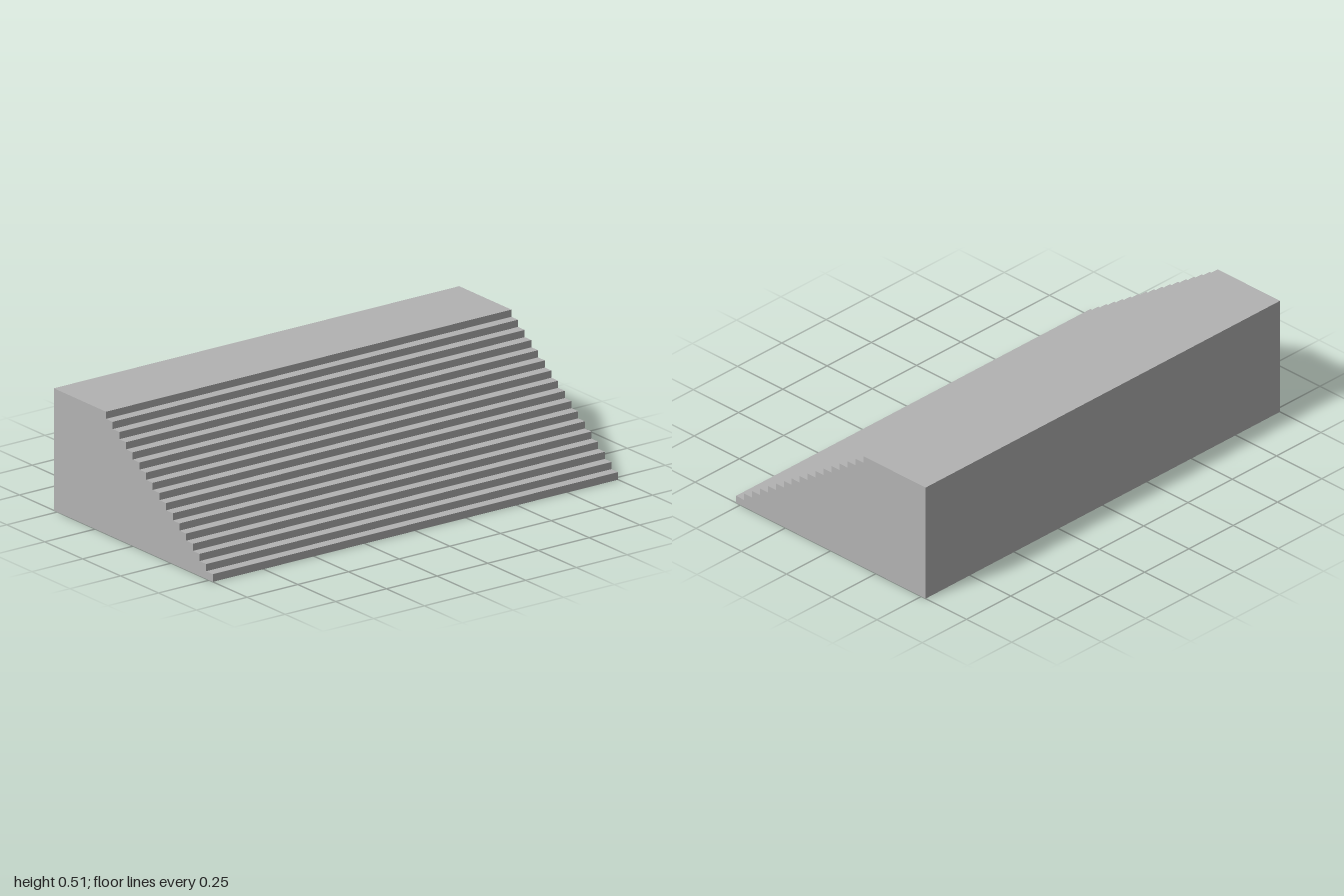
import * as THREE from 'three';

const WIDTH = 2;
const FRONT = 0.524, BACK = -0.524; // z extents
const RISERS = 17, TREAD = 0.044;
const FIRST_RISE = 0.032, RISE = 0.03;

// Side profile in (z, y): stepped front, flat landing, straight back
function stairProfile() {
  const shape = new THREE.Shape();
  shape.moveTo(BACK, 0);
  shape.lineTo(FRONT, 0);
  for (let i = 0; i < RISERS; i++) {
    const z = FRONT - i * TREAD;
    const y = FIRST_RISE + i * RISE;
    shape.lineTo(z, y); // riser
    shape.lineTo(i < RISERS - 1 ? z - TREAD : BACK, y); // tread or landing
  }
  shape.closePath();
  return shape;
}

export function createModel() {
  const model = new THREE.Group();
  model.name = 'staircase';

  const concrete = new THREE.MeshStandardMaterial({ color: 0xb2b2b2 });
  concrete.name = 'concrete grey';

  // Solid flight of wide steps with its landing
  const geometry = new THREE.ExtrudeGeometry(stairProfile(), { depth: WIDTH, bevelEnabled: false });
  geometry.rotateY(-Math.PI / 2); // profile runs along z, width along x
  geometry.translate(WIDTH / 2, 0, 0);

  const steps = new THREE.Mesh(geometry, concrete);
  steps.name = 'stepsAndLanding';
  model.add(steps);
  return model;
}
